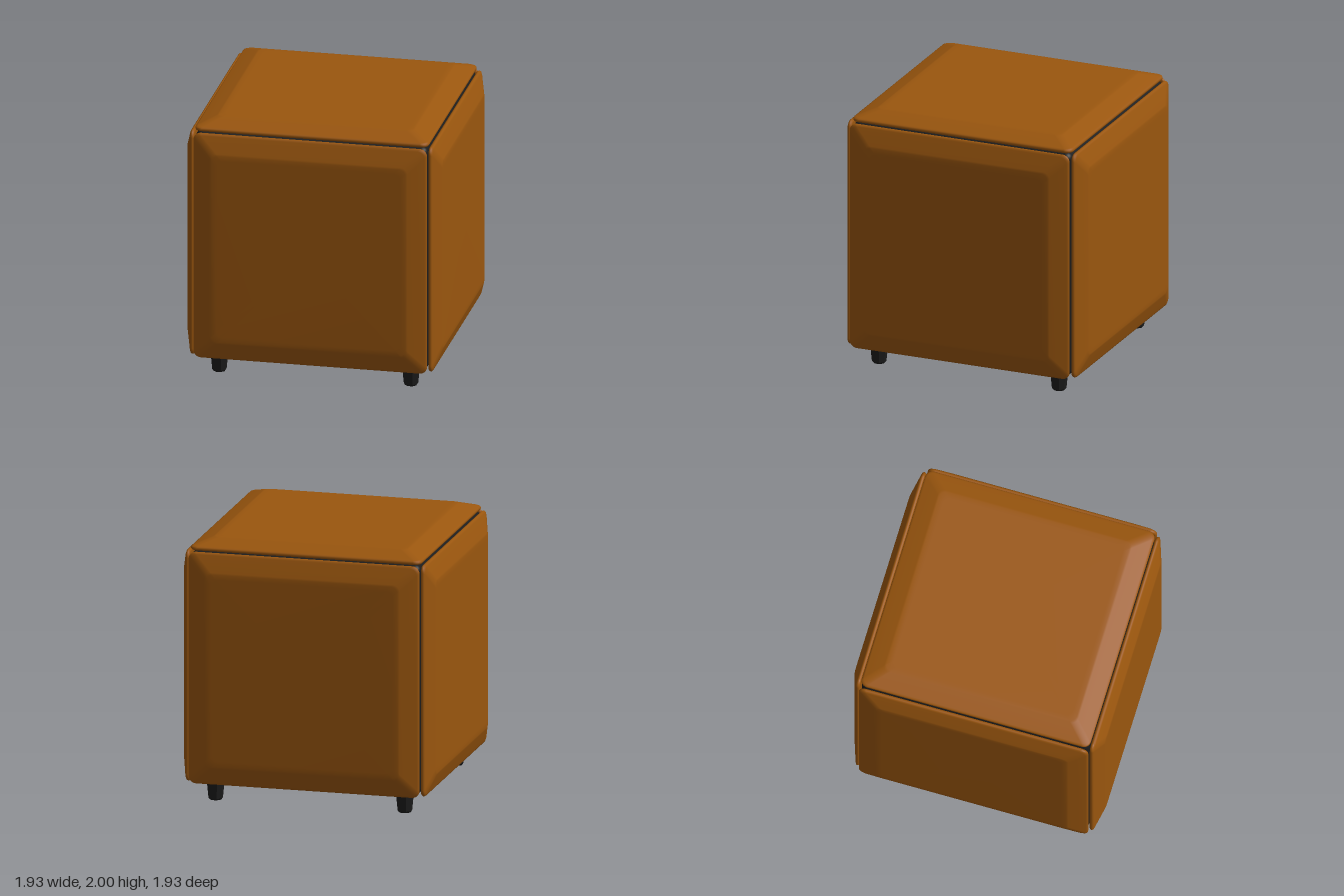
import * as THREE from 'three';
import { RoundedBoxGeometry } from 'three/addons/geometries/RoundedBoxGeometry.js';

const leather = new THREE.MeshStandardMaterial({ color: 0x9a560e });
const black = new THREE.MeshStandardMaterial({ color: 0x1c1c1c });
const blackFaceted = new THREE.MeshStandardMaterial({ color: 0x1c1c1c, flatShading: true });

// Closed stack of rounded squares; each ring is [half width, height, corner radius]
function cushionGeometry(rings, seg = 6) {
  const pos = [], idx = [], n = 4 * (seg + 1);
  for (const [half, y, r] of rings) {
    for (let c = 0; c < 4; c++) {
      const mid = Math.PI / 4 + c * Math.PI / 2;
      const cx = Math.sign(Math.cos(mid)) * (half - r);
      const cz = Math.sign(Math.sin(mid)) * (half - r);
      for (let s = 0; s <= seg; s++) {
        const a = (c + s / seg) * Math.PI / 2;
        pos.push(cx + r * Math.cos(a), y, -(cz + r * Math.sin(a)));
      }
    }
  }
  const last = rings.length - 1, back = rings.length * n, face = back + 1;
  pos.push(0, rings[0][1], 0, 0, rings[last][1], 0);
  for (let i = 0; i < n; i++) {
    const j = (i + 1) % n;
    for (let k = 0; k < last; k++) {
      const a = k * n + i, b = k * n + j;
      idx.push(a, b, b + n, a, b + n, a + n);
    }
    idx.push(back, j, i, face, last * n + i, last * n + j);
  }
  const g = new THREE.BufferGeometry();
  g.setAttribute('position', new THREE.Float32BufferAttribute(pos, 3));
  g.setIndex(idx);
  g.computeVertexNormals();
  return g;
}

export function createModel() {
  const group = new THREE.Group();
  const centreY = 1.04;

  // Dark inner box
  const core = new THREE.Mesh(new RoundedBoxGeometry(1.75, 1.75, 1.75, 3, 0.05), black);
  core.name = 'innerBox';
  core.position.y = centreY;
  group.add(core);

  // Five padded panels: rolled edge, sloping border, flat middle
  const padding = cushionGeometry([
    [0.862, 0, 0.04], [0.874, 0.003, 0.05], [0.88, 0.011, 0.055], [0.88, 0.02, 0.055],
    [0.876, 0.028, 0.055], [0.864, 0.034, 0.05], [0.80, 0.057, 0.05], [0.745, 0.077, 0.05],
    [0.73, 0.081, 0.05], [0.69, 0.082, 0.05],
  ]);
  const panels = [
    ['topPanel', 0, 0], ['frontPanel', Math.PI / 2, 0], ['backPanel', -Math.PI / 2, 0],
    ['leftPanel', 0, -Math.PI / 2], ['rightPanel', 0, Math.PI / 2],
  ];
  for (const [name, rx, rz] of panels) {
    const panel = new THREE.Mesh(padding, leather);
    panel.name = name;
    panel.rotation.set(rx, 0, rz);
    panel.position.set(0, 0.882, 0).applyEuler(panel.rotation);
    panel.position.y += centreY - 0.004;
    group.add(panel);
  }

  // Four tapered eight-sided feet with a bevelled tip
  const profile = [[0, 0], [0.046, 0], [0.054, 0.012], [0.07, 0.175], [0, 0.175]];
  const footGeometry = new THREE.LatheGeometry(
    profile.map(([r, y]) => new THREE.Vector2(r, y)), 8, Math.PI / 8);
  for (const x of [1, -1]) {
    for (const z of [1, -1]) {
      const foot = new THREE.Mesh(footGeometry, blackFaceted);
      foot.name = (z > 0 ? 'front' : 'back') + (x > 0 ? 'Left' : 'Right') + 'Foot';
      foot.position.set(x * 0.722, 0, z * 0.722);
      group.add(foot);
    }
  }
  return group;
}
